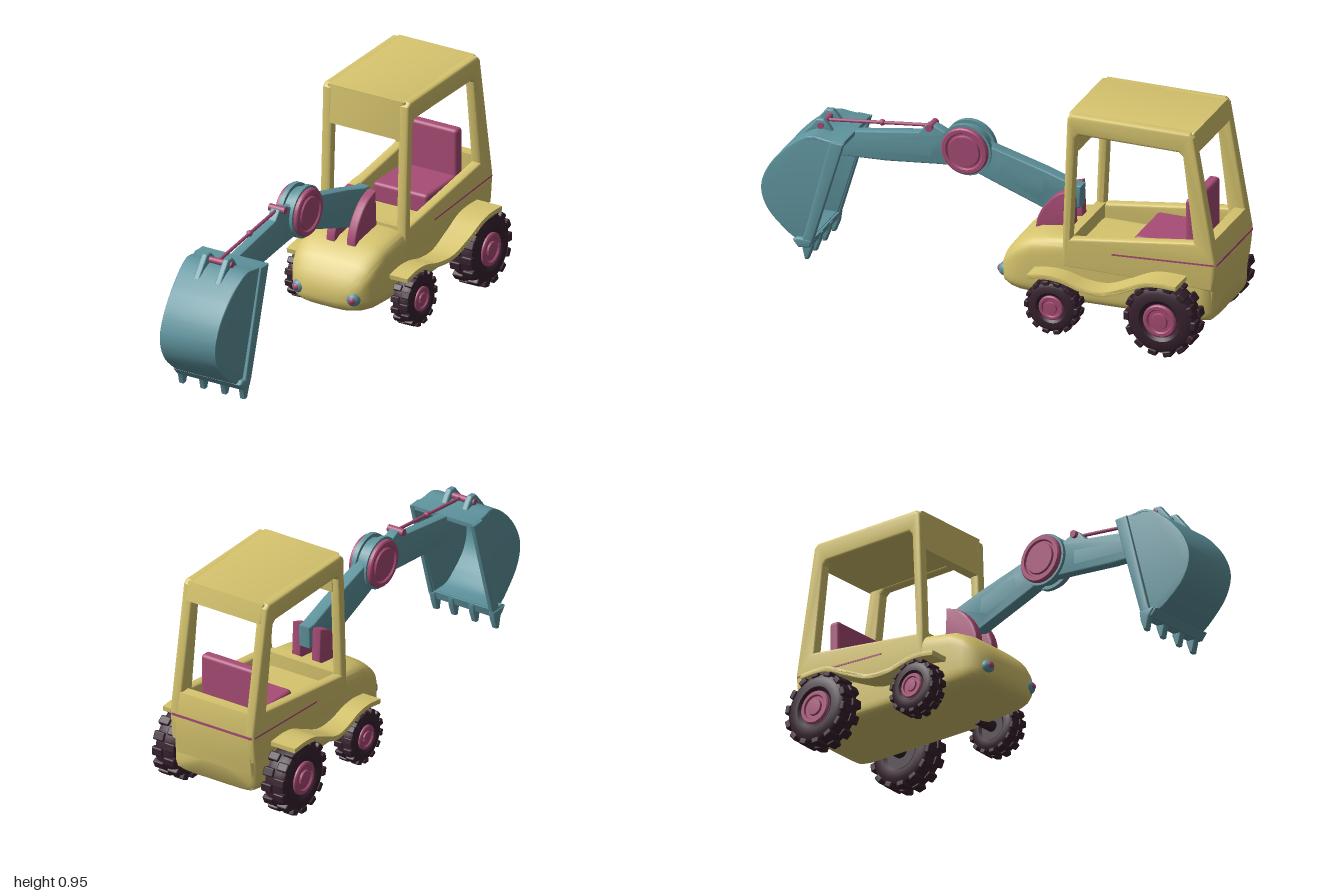
import * as THREE from 'three';
import { toCreasedNormals } from 'three/addons/utils/BufferGeometryUtils.js';
import { RoundedBoxGeometry } from 'three/addons/geometries/RoundedBoxGeometry.js';

const paint = (name, color) => Object.assign(new THREE.MeshStandardMaterial({ color }), { name });
const yellow = paint('yellow', 0xd6c46e);
const teal = paint('teal', 0x5f949e);
const pink = paint('pink', 0xa84c75);
const rubber = paint('rubber', 0x37222f);

const vecs = (pts) => pts.map(([a, b]) => new THREE.Vector2(a, b));
const smooth = (pts, n) => new THREE.SplineCurve(vecs(pts)).getPoints(n).map((p) => [p.x, p.y]);

export function createModel() {
  const root = new THREE.Group();
  root.name = 'toyDigger';

  function add(name, geo, mat, x = 0, y = 0, z = 0, parent = root) {
    const m = new THREE.Mesh(geo, mat);
    m.name = name;
    m.position.set(x, y, z);
    parent.add(m);
    return m;
  }

  // Side outline in (z, y), extruded across x and centred on x = 0
  function plateGeo(pts, width, bevel = 0.008, hole) {
    const shape = new THREE.Shape(vecs(pts));
    if (hole) shape.holes.push(new THREE.Path(vecs(hole)));
    const depth = width - 2 * bevel;
    const geo = new THREE.ExtrudeGeometry(shape, {
      depth, bevelEnabled: bevel > 0, bevelSize: bevel, bevelThickness: bevel, bevelOffset: -bevel, bevelSegments: 3,
    });
    geo.translate(0, 0, -depth / 2).rotateY(-Math.PI / 2);
    return toCreasedNormals(geo, 0.6);
  }
  const plate = (name, mat, pts, width, x = 0, bevel, hole) => add(name, plateGeo(pts, width, bevel, hole), mat, x);

  // Closed outline of thickness t lying to one side of a path
  function ribbon(path, t) {
    const back = path.map(([a, b], i) => {
      const p = path[Math.max(i - 1, 0)], q = path[Math.min(i + 1, path.length - 1)];
      const l = Math.hypot(q[0] - p[0], q[1] - p[1]);
      return [a + (t * (q[1] - p[1])) / l, b - (t * (q[0] - p[0])) / l];
    });
    return [...path, ...back.reverse()];
  }

  const rodX = (name, mat, r, len, x, y, z, parent) =>
    add(name, new THREE.CylinderGeometry(r, r, len, 32).rotateZ(Math.PI / 2), mat, x, y, z, parent);

  // Solid of revolution round the x axis, profile in (radius, x)
  const spin = (pts) => toCreasedNormals(new THREE.LatheGeometry(vecs(pts), 40).rotateZ(-Math.PI / 2), 0.6);

  // Body: rounded sections from the nose to the tail [z, half width, bottom, top, squareness]
  const sections = [
    [-0.038, 0.07, 0.16, 0.2, 2.5], [-0.045, 0.125, 0.135, 0.23, 3], [-0.065, 0.16, 0.122, 0.27, 3.5],
    [-0.1, 0.185, 0.114, 0.315, 4], [-0.14, 0.196, 0.11, 0.348, 4.5], [-0.2, 0.2, 0.11, 0.376, 5],
    [-0.33, 0.203, 0.11, 0.395, 6], [-0.365, 0.203, 0.11, 0.385, 7], [-0.375, 0.203, 0.11, 0.345, 7],
    [-0.93, 0.203, 0.122, 0.345, 7], [-0.965, 0.197, 0.126, 0.345, 7], [-0.98, 0.18, 0.14, 0.345, 7],
  ];
  const N = 56, pos = [], idx = [];
  sections.forEach(([z, w, lo, hi, n]) => {
    for (let i = 0; i < N; i++) {
      const a = (i / N) * Math.PI * 2, c = Math.cos(a), s = Math.sin(a);
      pos.push(w * Math.sign(c) * Math.abs(c) ** (2 / n), (lo + hi) / 2 + ((hi - lo) / 2) * Math.sign(s) * Math.abs(s) ** (2 / n), z);
    }
  });
  const last = sections.length - 1;
  for (const k of [0, last]) pos.push(0, (sections[k][2] + sections[k][3]) / 2, sections[k][0]);
  for (let i = 0; i < N; i++) {
    const j = (i + 1) % N;
    for (let k = 0; k < last; k++) {
      const a = k * N + i, b = k * N + j;
      idx.push(a, a + N, b, b, a + N, b + N);
    }
    idx.push((last + 1) * N, i, j, (last + 1) * N + 1, last * N + j, last * N + i);
  }
  const bodyGeo = new THREE.BufferGeometry();
  bodyGeo.setAttribute('position', new THREE.Float32BufferAttribute(pos, 3));
  bodyGeo.setIndex(idx);
  add('body', toCreasedNormals(bodyGeo.toNonIndexed(), 0.9), yellow);

  // Cab: two side frames with window holes, roof, visor, tail panel
  const frame = [[-0.335, 0.27], [-0.335, 0.41], [-0.355, 0.93], [-0.372, 0.947], [-0.885, 0.951], [-0.903, 0.935],
    [-0.998, 0.4], [-0.994, 0.34], [-0.985, 0.27]];
  const windowHole = [[-0.372, 0.4], [-0.393, 0.845], [-0.408, 0.862], [-0.84, 0.862], [-0.856, 0.848], [-0.902, 0.475]];
  for (const s of [-1, 1]) plate('cabSide', yellow, frame, 0.047, s * 0.1805, 0.012, windowHole);
  plate('roof', yellow, [[-0.357, 0.947], [-0.9, 0.951], [-0.918, 0.87], [-0.37, 0.87]], 0.37, 0, 0.01);
  plate('visor', yellow, [[-0.357, 0.945], [-0.4, 0.945], [-0.393, 0.78], [-0.35, 0.78]], 0.35, 0, 0.008);
  plate('cowl', yellow, [[-0.337, 0.3], [-0.337, 0.405], [-0.375, 0.405], [-0.375, 0.3]], 0.35);
  plate('tailPanel', yellow, [[-0.972, 0.14], [-0.986, 0.26], [-0.999, 0.39], [-0.982, 0.485], [-0.935, 0.485], [-0.935, 0.14]], 0.375, 0, 0.01);

  // Thin trim line
  add('rearTrim', new THREE.BoxGeometry(0.385, 0.01, 0.006), pink, 0, 0.387, -0.998);
  for (const s of [-1, 1]) {
    add('sideTrim', new THREE.BoxGeometry(0.005, 0.007, 0.44), pink, s * 0.203, 0.376, -0.77).rotation.x = 0.06;
  }

  // Seat
  add('seatCushion', new RoundedBoxGeometry(0.26, 0.09, 0.25, 3, 0.015), pink, 0, 0.38, -0.74);
  add('seatBack', new RoundedBoxGeometry(0.26, 0.28, 0.048, 3, 0.015), pink, 0, 0.485, -0.862);

  // Headlights
  for (const s of [-1, 1]) {
    add('headlight', new THREE.SphereGeometry(0.03, 24, 16), teal, s * 0.128, 0.185, -0.062);
    add('headlightLens', new THREE.SphereGeometry(0.018, 20, 12), pink, s * 0.131, 0.186, -0.046);
  }

  // Wavy fenders, wider towards the rear wheels
  const wave = smooth([[-0.215, 0.25], [-0.29, 0.262], [-0.36, 0.258], [-0.45, 0.236], [-0.54, 0.236],
    [-0.63, 0.272], [-0.72, 0.315], [-0.79, 0.328], [-0.875, 0.326]], 48);
  for (const s of [-1, 1]) {
    const geo = plateGeo(ribbon(wave, -0.02), 1, 0.006);
    const p = geo.attributes.position;
    for (let i = 0; i < p.count; i++) {
      const outer = THREE.MathUtils.lerp(0.285, 0.322, THREE.MathUtils.smoothstep(-p.getZ(i), 0.35, 0.75));
      const t = p.getX(i) + 0.5;
      p.setX(i, s > 0 ? 0.17 + t * (outer - 0.17) : -outer + t * (outer - 0.17));
    }
    add('fender', toCreasedNormals(geo, 0.6), yellow);
  }

  // Wheels: tyre, staggered tread blocks, stepped hub
  function wheel(name, s, x, y, z, r, w) {
    const g = new THREE.Group();
    g.name = name;
    g.position.set(s * x, y, z);
    root.add(g);
    const h = w / 2, b = r * 0.94;
    add('tyre', spin([[0, -h * 0.8], [b * 0.5, -h * 0.8], [b * 0.6, -h], [b * 0.82, -h], [b * 0.95, -h * 0.8], [b, -h * 0.4],
      [b, h * 0.4], [b * 0.95, h * 0.8], [b * 0.82, h], [b * 0.6, h], [b * 0.5, h * 0.8], [0, h * 0.8]]), rubber, 0, 0, 0, g);
    for (let i = 0; i < 28; i++) {
      const a = (i / 28) * Math.PI * 2, side = i % 2 ? 1 : -1;
      const block = add('tread', new RoundedBoxGeometry(w * 0.46, r * 0.16, r * 0.24, 2, r * 0.04), rubber,
        side * h * 0.52, Math.cos(a) * r * 0.92, Math.sin(a) * r * 0.92, g);
      block.rotation.x = a;
    }
    const q = r * 0.45;
    const hub = add('hub', spin([[0, 0], [q, 0], [q, h * 0.95], [q * 0.92, h * 1.03], [q * 0.75, h * 1.03], [q * 0.68, h * 0.9],
      [q * 0.5, h * 0.9], [q * 0.46, h * 1.05], [0, h * 1.08]]), pink, 0, 0, 0, g);
    if (s < 0) hub.rotation.y = Math.PI;
    rodX('axle', rubber, r * 0.2, 0.12, -s * 0.07, 0, 0, g);
  }
  for (const s of [-1, 1]) {
    wheel('rearWheel', s, 0.266, 0.161, -0.803, 0.157, 0.11);
    wheel('frontWheel', s, 0.25, 0.124, -0.322, 0.116, 0.085);
  }

  // Boom bracket on the bonnet
  const bracket = [...smooth([[-0.165, 0.34], [-0.172, 0.4], [-0.205, 0.465], [-0.26, 0.52], [-0.325, 0.546]], 14), [-0.335, 0.34]];
  for (const s of [-1, 1]) plate('boomBracket', pink, bracket, 0.042, s * 0.048, 0.007);

  // Boom and stick, each a rim round a recessed core
  function armPart(name, pts, hole, w) {
    plate(name + 'Rim', teal, pts, w, 0, 0.005, hole);
    plate(name + 'Core', teal, pts, w - 0.014, 0, 0.003);
  }
  armPart('boom', [[-0.345, 0.55], [-0.31, 0.553], [-0.18, 0.595], [0.04, 0.655], [0.15, 0.7], [0.15, 0.55], [0.04, 0.508], [-0.19, 0.425], [-0.34, 0.455]],
    [[-0.18, 0.565], [0.0, 0.608], [0.02, 0.54], [-0.15, 0.478], [-0.19, 0.5]], 0.054);
  armPart('stick', [[0.15, 0.7], [0.24, 0.682], [0.29, 0.705], [0.33, 0.702], [0.36, 0.666], [0.63, 0.622], [0.7, 0.61], [0.7, 0.505], [0.5, 0.515], [0.27, 0.54], [0.15, 0.55]],
    [[0.3, 0.635], [0.6, 0.595], [0.62, 0.54], [0.3, 0.565]], 0.044);

  // Elbow joint
  for (const s of [-1, 1]) rodX('elbowFlange', teal, 0.11, 0.02, s * 0.026, 0.63, 0.15);
  rodX('elbowCore', teal, 0.095, 0.06, 0, 0.63, 0.15);
  for (const s of [-1, 1]) {
    const cap = add('elbowCap', spin([[0, 0.02], [0.1, 0.02], [0.1, 0.05], [0.095, 0.055], [0.08, 0.055], [0.075, 0.047], [0.068, 0.047], [0.064, 0.055], [0, 0.055]]), pink, 0, 0.63, 0.15);
    if (s < 0) cap.rotation.y = Math.PI;
  }

  // Linkage rod with pins and collar
  const a = new THREE.Vector3(0, 0.697, 0.31), b = new THREE.Vector3(0, 0.643, 0.765);
  add('linkRod', new THREE.TubeGeometry(new THREE.LineCurve3(a, b), 1, 0.007, 12), pink);
  add('linkCollar', new THREE.SphereGeometry(0.013, 16, 12), pink, 0, 0.672, 0.525);
  rodX('stickPin', pink, 0.015, 0.075, 0, a.y, a.z);
  rodX('bucketPin', pink, 0.013, 0.14, 0, b.y, b.z);

  // Bucket: curved shell and side plates, narrowing towards the back
  const curve = smooth([[0.635, 0.622], [0.71, 0.624], [0.78, 0.628], [0.865, 0.575], [0.945, 0.49], [0.99, 0.405], [0.995, 0.335],
    [0.965, 0.265], [0.905, 0.205], [0.845, 0.165], [0.775, 0.16]], 40);
  function taper(geo) {
    const p = geo.attributes.position;
    for (let i = 0; i < p.count; i++) p.setX(i, p.getX(i) * (1 - 0.12 * THREE.MathUtils.smoothstep(p.getZ(i), 0.65, 1)));
    return toCreasedNormals(geo, 0.6);
  }
  add('bucketShell', taper(plateGeo(ribbon(curve, 0.018), 0.3, 0.006)), teal);
  for (const s of [-1, 1]) {
    const side = plateGeo(curve, 0.016, 0.005).translate(s * 0.142, 0, 0);
    add('bucketSide', taper(side), teal);
    plate('bucketSideRim', teal, [[0.63, 0.62], [0.69, 0.622], [0.8, 0.2], [0.82, 0.14], [0.765, 0.16]], 0.024, s * 0.147, 0.007);
    plate('bucketLug', teal, [[0.7, 0.6], [0.735, 0.65], [0.755, 0.67], [0.785, 0.668], [0.88, 0.55], [0.8, 0.58]], 0.028, s * 0.05, 0.007);
  }
  plate('bucketLip', teal, [[0.765, 0.175], [0.775, 0.14], [0.825, 0.135], [0.85, 0.165], [0.83, 0.178]], 0.32, 0, 0.007);
  for (const x of [-0.15, -0.05, 0.05, 0.138]) {
    plate('bucketTooth', teal, [[0.762, 0.17], [0.768, 0.13], [0.785, 0.085], [0.8, 0.083], [0.812, 0.135], [0.84, 0.17]], 0.03, x, 0.008);
  }
  return root;
}
